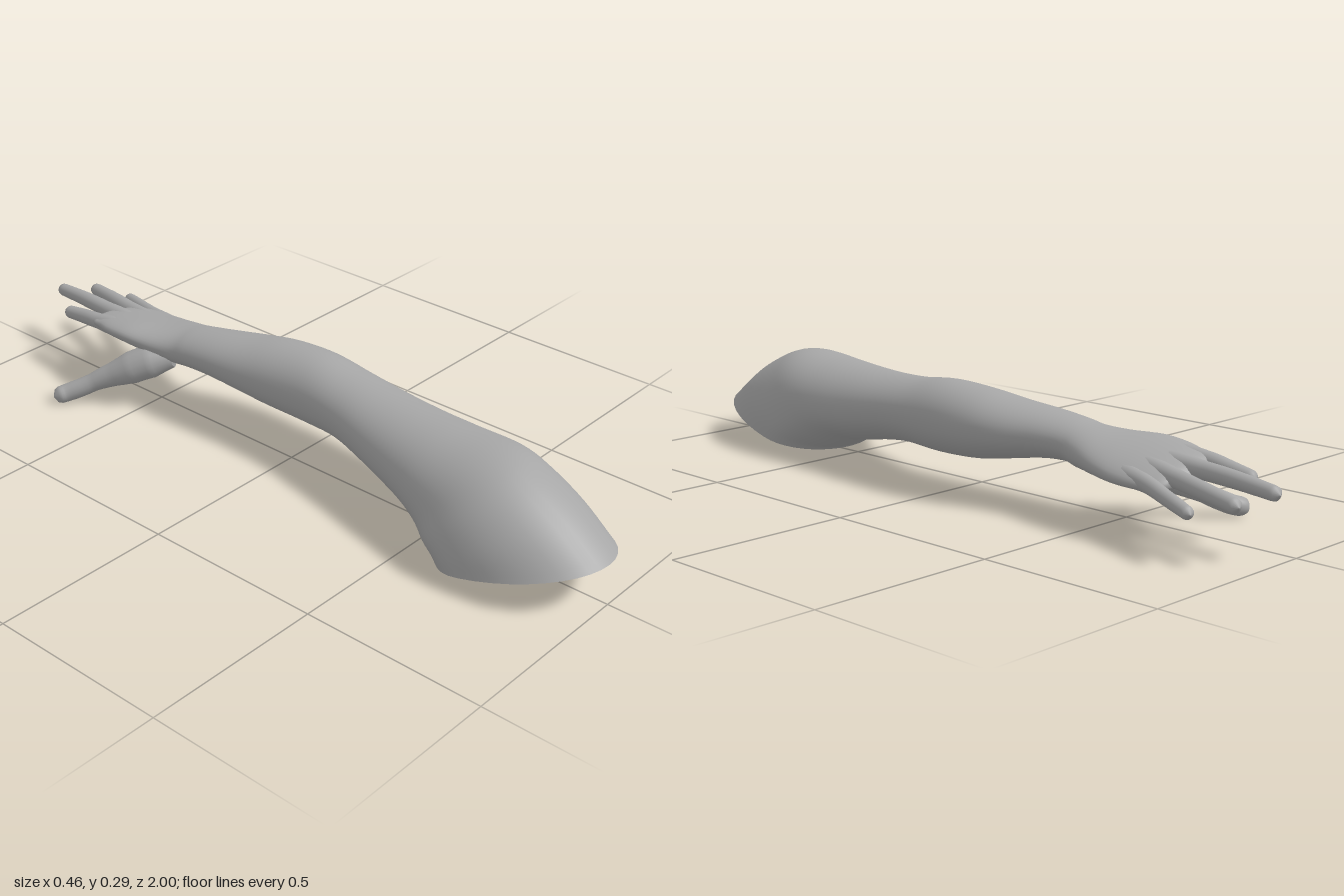
import * as THREE from 'three';
import { mergeVertices } from 'three/addons/utils/BufferGeometryUtils.js';

const skin = new THREE.MeshStandardMaterial({ color: 0xa6a6a6, side: THREE.DoubleSide });
skin.name = 'grey skin';

// Cross-sections from shoulder to knuckles: x min, x max, top y, top z, bottom y, bottom z
const sections = [
  [-0.2, 0.18, 0.12, 1.0, 0.005, 0.56],
  [-0.195, 0.182, 0.2, 0.89, 0.012, 0.55],
  [-0.18, 0.18, 0.257, 0.78, 0.022, 0.52],
  [-0.15, 0.178, 0.282, 0.68, 0.038, 0.48],
  [-0.12, 0.178, 0.275, 0.53, 0.058, 0.43],
  [-0.09, 0.178, 0.27, 0.4, 0.07, 0.36],
  [-0.057, 0.18, 0.27, 0.27, 0.09, 0.25],
  [-0.03, 0.185, 0.277, 0.15, 0.1, 0.15],
  [-0.018, 0.19, 0.29, 0.03, 0.095, 0.03],
  [-0.022, 0.19, 0.283, -0.1, 0.1, -0.1],
  [-0.028, 0.175, 0.268, -0.2, 0.115, -0.2],
  [-0.033, 0.145, 0.255, -0.3, 0.13, -0.3],
  [-0.035, 0.13, 0.243, -0.38, 0.132, -0.38],
  [-0.037, 0.137, 0.233, -0.43, 0.125, -0.43],
  [-0.058, 0.156, 0.222, -0.5, 0.128, -0.5],
  [-0.073, 0.17, 0.214, -0.57, 0.133, -0.57],
  [-0.07, 0.174, 0.205, -0.64, 0.134, -0.64],
  [-0.056, 0.168, 0.197, -0.69, 0.136, -0.69],
  [-0.04, 0.145, 0.187, -0.73, 0.142, -0.73],
  [0.04, 0.044, 0.167, -0.755, 0.165, -0.755],
];

// Smooth skin lofted through the cross-sections
function armGeometry() {
  const upper = new THREE.CatmullRomCurve3(
    sections.map(s => new THREE.Vector3(s[0], s[2], s[3])), false, 'catmullrom', 0.5);
  const lower = new THREE.CatmullRomCurve3(
    sections.map(s => new THREE.Vector3(s[1], s[4], s[5])), false, 'catmullrom', 0.5);
  const rows = 95, sides = 40, positions = [], index = [];
  for (let i = 0; i <= rows; i++) {
    const a = upper.getPoint(i / rows), b = lower.getPoint(i / rows);
    const cx = (a.x + b.x) / 2, half = (b.x - a.x) / 2;
    // widest point sits low at the shoulder, centred further along
    const middle = THREE.MathUtils.lerp(0.33, 0.5, Math.min(1, (i / rows) * 3));
    // the hand rolls towards the little finger
    const roll = 0.2 * THREE.MathUtils.smoothstep(-a.z, 0.36, 0.6);
    for (let j = 0; j < sides; j++) {
      const t = (j / sides) * Math.PI * 2, s = Math.sin(t);
      const v = s > 0 ? middle + (1 - middle) * s
        : middle * (1 - Math.pow(-s, 0.9));
      const dx = half * Math.cos(t);
      positions.push(cx + dx, b.y + (a.y - b.y) * v - roll * dx, b.z + (a.z - b.z) * v);
      if (i < rows) {
        const k = (j + 1) % sides, p = i * sides, q = p + sides;
        index.push(p + j, q + j, p + k, p + k, q + j, q + k);
      }
    }
  }
  const g = new THREE.BufferGeometry();
  g.setAttribute('position', new THREE.Float32BufferAttribute(positions, 3));
  g.setIndex(index);
  g.computeVertexNormals();
  return g;
}

// Tapered finger with a rounded tip; radii are spread evenly along the path
function fingerGeometry(path, radii) {
  const curve = new THREE.CatmullRomCurve3(path.map(p => new THREE.Vector3(...p)));
  const rows = 36, sides = 16, length = curve.getLength();
  let g = new THREE.TubeGeometry(curve, rows, 1, sides);
  const pos = g.attributes.position, v = new THREE.Vector3();
  for (let i = 0; i <= rows; i++) {
    // rows gather towards the tip so that it stays round
    const u = i / rows, c = curve.getPointAt(u);
    const f = u * (radii.length - 1), n = Math.min(Math.floor(f), radii.length - 2);
    const tip = radii[radii.length - 1];
    const near = Math.min(1, ((1 - u) * length) / tip);
    const r = THREE.MathUtils.lerp(radii[n], radii[n + 1], f - n)
      * Math.max(0.02, Math.sqrt(1 - (1 - near) ** 2));
    for (let j = 0; j <= sides; j++) {
      const k = i * (sides + 1) + j;
      v.fromBufferAttribute(pos, k).sub(c).multiplyScalar(r).add(c);
      pos.setXYZ(k, v.x, v.y, v.z);
    }
  }
  g.deleteAttribute('normal');
  g.deleteAttribute('uv');
  g = mergeVertices(g, 1e-5);
  g.computeVertexNormals();
  return g;
}

const slim = [0.03, 0.028, 0.023, 0.022, 0.02, 0.018];
const small = [0.028, 0.026, 0.021, 0.019, 0.018, 0.016];
const fingers = {
  thumb: [[[0.0, 0.15, -0.45], [-0.045, 0.128, -0.51], [-0.09, 0.098, -0.565], [-0.128, 0.072, -0.612],
    [-0.165, 0.046, -0.652], [-0.2, 0.028, -0.686], [-0.232, 0.024, -0.7]],
    [0.03, 0.047, 0.046, 0.034, 0.026, 0.026, 0.024]],
  indexFinger: [[[-0.015, 0.182, -0.62], [-0.025, 0.18, -0.72], [-0.02, 0.17, -0.8], [-0.016, 0.16, -0.872]], slim],
  middleFinger: [[[0.035, 0.175, -0.62], [0.045, 0.176, -0.74], [0.058, 0.172, -0.87], [0.071, 0.162, -1]], slim],
  ringFinger: [[[0.08, 0.168, -0.6], [0.107, 0.163, -0.72], [0.135, 0.155, -0.83], [0.165, 0.143, -0.957]], slim],
  littleFinger: [[[0.125, 0.155, -0.57], [0.152, 0.148, -0.68], [0.185, 0.135, -0.77], [0.221, 0.12, -0.866]], small],
};

export function createModel() {
  const group = new THREE.Group();
  const add = (name, geometry) => {
    const mesh = new THREE.Mesh(geometry, skin);
    mesh.name = name;
    group.add(mesh);
  };
  add('armAndPalm', armGeometry());
  for (const [name, [path, radii]] of Object.entries(fingers)) add(name, fingerGeometry(path, radii));
  return group;
}
